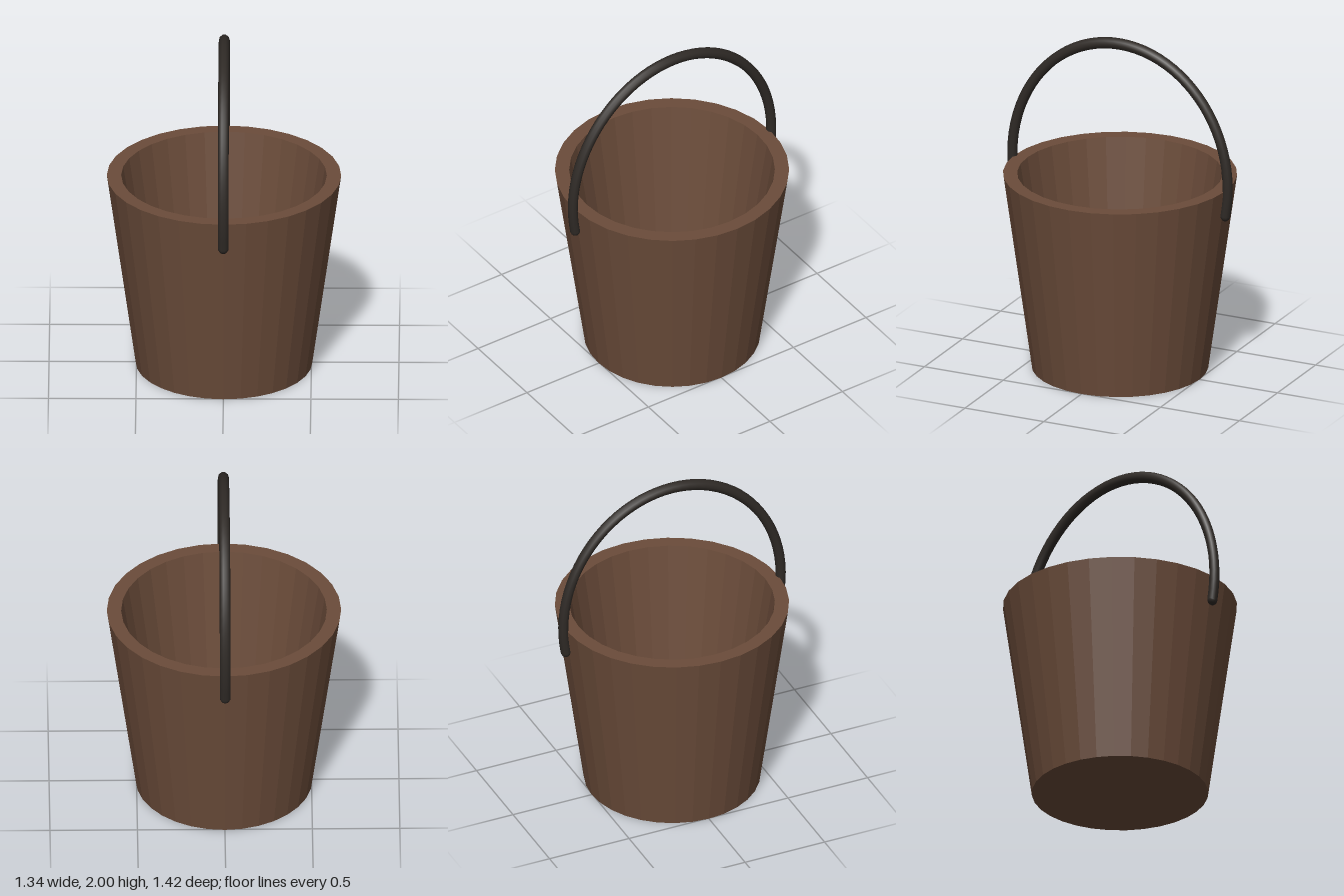
import * as THREE from 'three';

const brown = new THREE.MeshStandardMaterial({ color: 0x6b4c3a, flatShading: true });
const dark = new THREE.MeshStandardMaterial({ color: 0x2f2a26 });

function addMesh(group, name, geometry, material) {
  const mesh = new THREE.Mesh(geometry, material);
  mesh.name = name;
  group.add(mesh);
  return mesh;
}

export function createModel() {
  const model = new THREE.Group();
  model.name = 'bucket';

  // Tapered, thick-walled body: underside, outer wall, rim, inner wall, floor
  const profile = [
    [0, 0], [0.505, 0], [0.67, 1.178], [0.588, 1.178], [0.415, 0.07], [0, 0.07],
  ].map(([r, y]) => new THREE.Vector2(r, y));
  addMesh(model, 'body', new THREE.LatheGeometry(profile, 32), brown);

  // Arched handle: round arc running a little past the half circle, squashed to an oval
  const handle = new THREE.Group();
  handle.name = 'handle';
  const radius = 0.777, tube = 0.033, dip = 0.21;
  const squash = [0.94, 1, 0.88];
  const points = [];
  for (let i = 0; i <= 32; i++) {
    const a = -dip + (Math.PI + 2 * dip) * i / 32;
    points.push(new THREE.Vector3(0, radius * Math.sin(a), radius * Math.cos(a)));
  }
  const arc = new THREE.TubeGeometry(new THREE.CatmullRomCurve3(points), 48, tube, 10);
  addMesh(handle, 'handleArc', arc.scale(...squash), dark);

  // Rounded handle ends
  for (const end of [points[0], points[32]]) {
    const tip = new THREE.SphereGeometry(tube, 10, 8).translate(end.x, end.y, end.z);
    addMesh(handle, 'handleTip', tip.scale(...squash), dark);
  }
  handle.position.y = 1.19;
  model.add(handle);
  return model;
}
